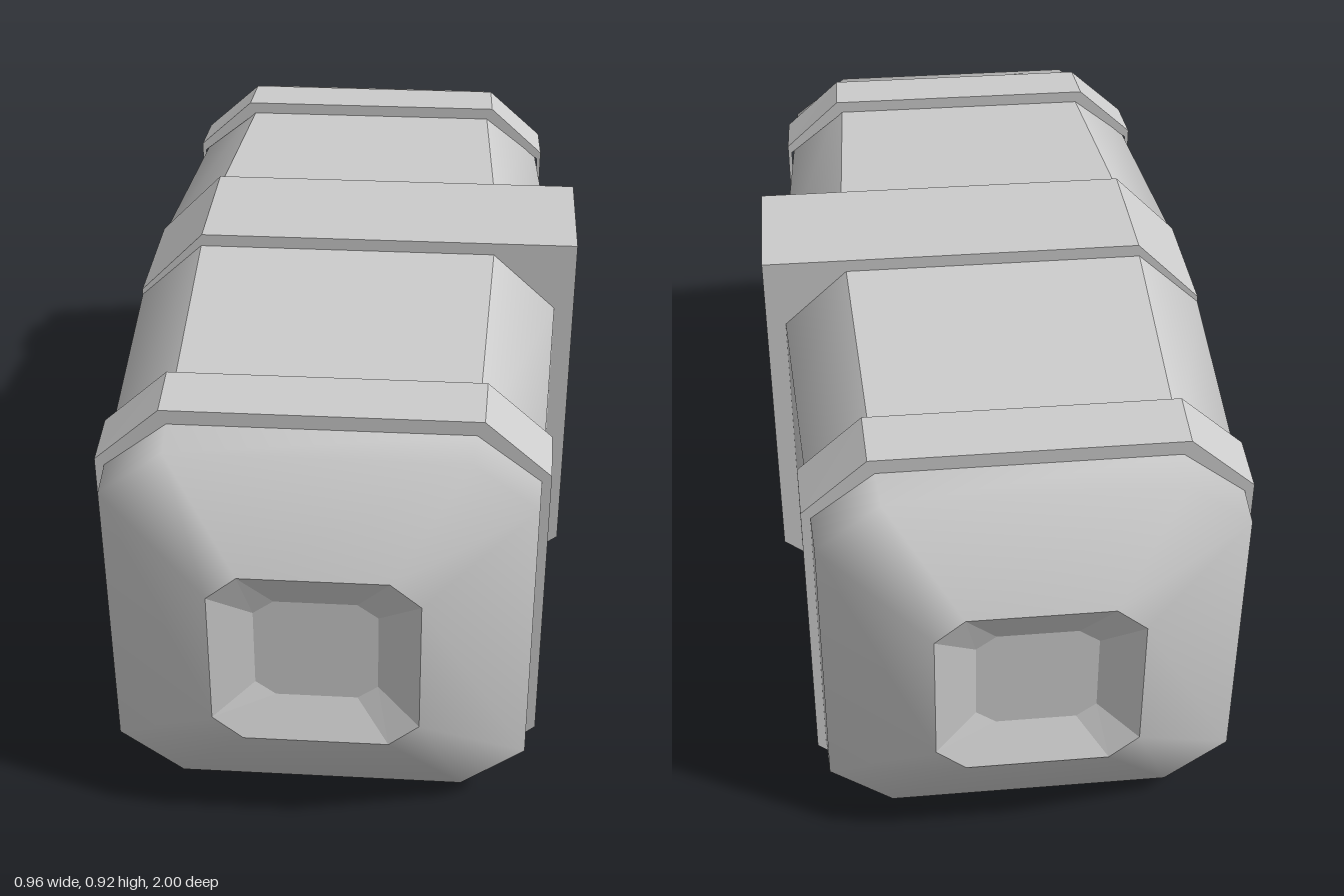
import * as THREE from 'three';

const CX = -0.0225, CY = 0.445;
const material = new THREE.MeshStandardMaterial({ color: 0xcccccc });

// Chamfered rectangle: half sizes w, h; a, b are where the corners are cut.
function ring([z, w, h, a, b]) {
  return [[w, -b], [w, b], [a, h], [-a, h], [-w, b], [-w, -b], [-a, -h], [a, -h]]
    .map(([x, y]) => [x + CX, y + CY, z]);
}

// Skins a row of sections over the chosen sides (0 right, 2 top, 4 left, 6 bottom).
function loft(sections, sides, { flat = false, capStart = false, capEnd = false } = {}) {
  const index = [];
  for (let s = 0; s < sections.length - 1; s++) {
    for (const i of sides) {
      const a = s * 8 + i, b = s * 8 + (i + 1) % 8;
      index.push(a, b, b + 8, a, b + 8, a + 8);
    }
  }
  const last = (sections.length - 1) * 8;
  for (let i = 1; i < 7; i++) {
    if (capStart) index.push(0, i + 1, i);
    if (capEnd) index.push(last, last + i, last + i + 1);
  }
  let geo = new THREE.BufferGeometry();
  geo.setAttribute('position', new THREE.Float32BufferAttribute(sections.flatMap(ring).flat(), 3));
  geo.setIndex(index);
  if (flat) geo = geo.toNonIndexed();
  geo.computeVertexNormals();
  return geo;
}

export function createModel() {
  const group = new THREE.Group();
  const add = (name, geo) => {
    const mesh = new THREE.Mesh(geo, material);
    mesh.name = name;
    group.add(mesh);
  };
  const all = [0, 1, 2, 3, 4, 5, 6, 7];
  const around = [0, 1, 3, 4, 5, 6, 7];

  // Section sizes, from the middle out to the recessed end panel
  const middle = [0.15, 0.4575, 0.445, 0.32, 0.318];
  const shoulder = [0.8, 0.42, 0.402, 0.294, 0.303];
  const rim = [0.89, 0.415, 0.397, 0.288, 0.3];
  const face = [1, 0.2025, 0.1975, 0.143, 0.147];
  const panel = [0.96, 0.12, 0.115, 0.08, 0.085];
  const bandInner = [0.67, 0.433, 0.41, 0.298, 0.303];
  const bandBack = [0.67, 0.442, 0.438, 0.312, 0.32];
  const bandFront = [0.8, 0.438, 0.432, 0.308, 0.316];
  const bandLip = [0.8, 0.4, 0.385, 0.28, 0.29];

  for (const [end, dir] of [['front', 1], ['back', -1]]) {
    // Mirrors the sections to the back, keeping them in outward-facing order
    const place = (list) => {
      const out = list.map(([z, ...size]) => [z * dir, ...size]);
      return dir > 0 ? out : out.reverse();
    };
    // Tapered body: crisp top, softly shaded sides
    add(end + 'BodyTop', loft(place([middle, shoulder]), [2]));
    add(end + 'BodySides', loft(place([middle, shoulder]), around));
    // Rounded end and its recessed panel
    add(end + 'Dome', loft(place([shoulder, rim, face]), all));
    add(end + 'EndPanel', loft(place([face, panel]), all,
      { flat: true, capStart: dir < 0, capEnd: dir > 0 }));
    // Raised band
    add(end + 'Band', loft(place([bandInner, bandBack, bandFront, bandLip]), all, { flat: true }));
  }

  // Middle hoop: flush on the left and bottom, squared off at the upper right
  const outline = [
    [-0.34, 0], [0.3, 0], [0.477, 0.14], [0.477, 0.917],
    [-0.34, 0.917], [-0.48, 0.776], [-0.48, 0.14],
  ].map(([x, y]) => new THREE.Vector2(x, y));
  const hoop = new THREE.ExtrudeGeometry(new THREE.Shape(outline), { depth: 0.3, bevelEnabled: false });
  hoop.translate(0, 0, -0.15);
  add('middleHoop', hoop);

  return group;
}
